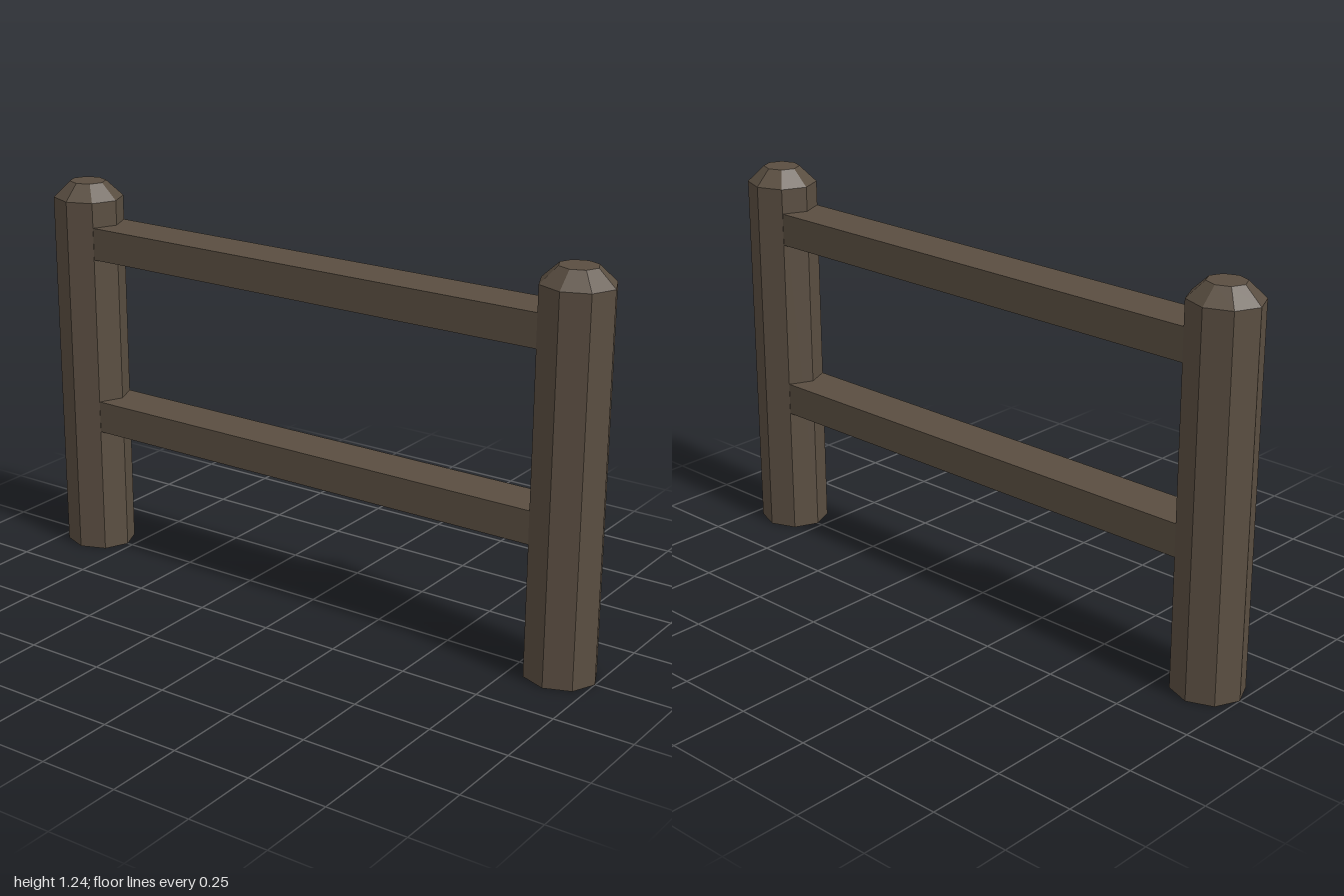
import * as THREE from 'three';

const wood = new THREE.MeshStandardMaterial({ color: 0x5a4e41, flatShading: true, side: THREE.DoubleSide });

// Eight-sided post with a chamfered top, open underneath
function makePost(x) {
  const profile = [
    new THREE.Vector2(0.115, 0),
    new THREE.Vector2(0.115, 1.186),
    new THREE.Vector2(0.06, 1.237),
    new THREE.Vector2(0, 1.237),
  ];
  const post = new THREE.Mesh(new THREE.LatheGeometry(profile, 8), wood);
  post.scale.z = 0.93;
  post.position.x = x;
  return post;
}

// Horizontal rail let into both posts
function makeRail(bottom, top) {
  const rail = new THREE.Mesh(new THREE.BoxGeometry(1.62, top - bottom, 0.15), wood);
  rail.position.y = (bottom + top) / 2;
  return rail;
}

export function createModel() {
  const fence = new THREE.Group();
  fence.name = 'fence';

  const leftPost = makePost(0.885);
  leftPost.name = 'leftPost';
  const rightPost = makePost(-0.885);
  rightPost.name = 'rightPost';

  const lowerRail = makeRail(0.418, 0.522);
  lowerRail.name = 'lowerRail';
  const upperRail = makeRail(1.002, 1.106);
  upperRail.name = 'upperRail';

  fence.add(leftPost, rightPost, lowerRail, upperRail);
  return fence;
}
